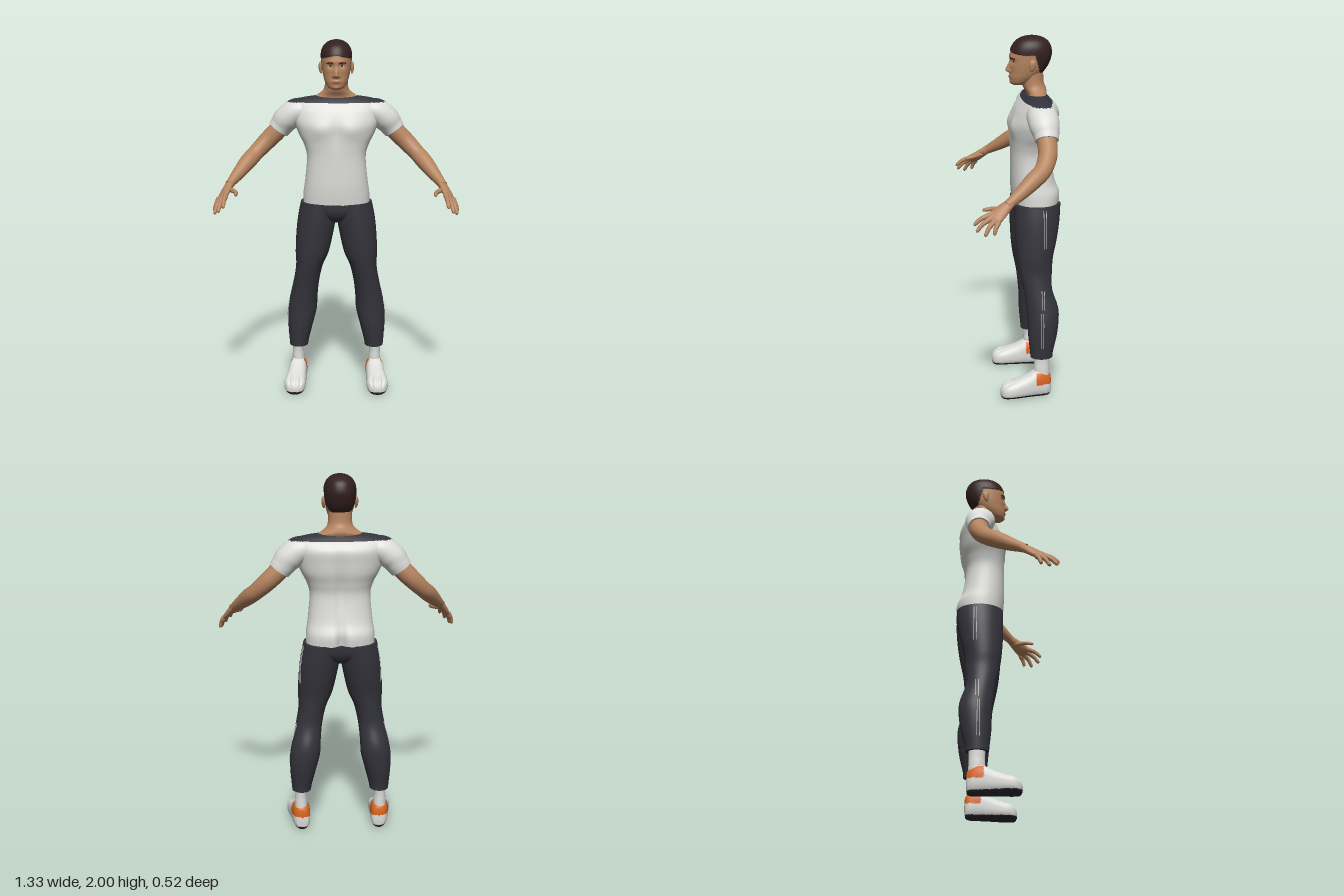
import * as THREE from 'three';

const mat = (name, color) => Object.assign(new THREE.MeshStandardMaterial({ color }), { name });
const V = (x, y, z) => new THREE.Vector3(x, y, z);
const X = V(1, 0, 0), Y = V(0, 1, 0), Z = V(0, 0, 1);
const bump = (d, w) => Math.exp(-((d / w) ** 2));

// Catmull-Rom subdivision of cross-section rows
function dense(rows, k) {
  const out = [], n = rows.length - 1;
  for (let i = 0; i < n; i++) {
    const [p, q, r, s] = [rows[Math.max(i - 1, 0)], rows[i], rows[i + 1], rows[Math.min(i + 2, n)]];
    for (let j = 0; j < k; j++) {
      const t = j / k;
      out.push(q.map((b, c) => b + 0.5 * t * (r[c] - p[c] +
        t * (2 * p[c] - 5 * b + 4 * r[c] - s[c] + t * (3 * (b - r[c]) + s[c] - p[c])))));
    }
  }
  out.push(rows[n]);
  return out;
}

// Capped loft through rows [x, y, z, radius along u, radius along v]
function loft(rows, { k = 6, seg = 32, axes, pow = 2, side = 1, deform } = {}) {
  const R = dense(rows.map(([x, ...r]) => [x * side, ...r]), k);
  const pos = [], idx = [], at = i => V(...R[i].slice(0, 3));
  const ringPoint = (i, j) => {
    const t = at(Math.min(i + 1, R.length - 1)).sub(at(Math.max(i - 1, 0))).normalize();
    const u = axes ? axes[0].clone() : V().crossVectors(t, Z).normalize();
    const v = axes ? axes[1].clone() : V().crossVectors(t, u);
    if (axes) { u.x *= side; v.x *= side; }
    if (V().crossVectors(u, v).dot(t) < 0) v.negate();
    const a = j / seg * Math.PI * 2, c = Math.cos(a), s = Math.sin(a);
    const f = q => Math.sign(q) * Math.abs(q) ** (2 / pow);
    const p = at(i).addScaledVector(u, R[i][3] * f(c)).addScaledVector(v, R[i][4] * f(s));
    if (deform) deform(p, R[i]);
    return p;
  };
  const ring = i => { for (let j = 0; j < seg; j++) pos.push(...ringPoint(i, j).toArray()); };
  R.forEach((_, i) => ring(i));
  for (let i = 0; i < R.length - 1; i++) for (let j = 0; j < seg; j++) {
    const a = i * seg + j, b = i * seg + (j + 1) % seg;
    idx.push(a, b, a + seg, b, b + seg, a + seg);
  }
  for (const i of [0, R.length - 1]) {
    const base = pos.length / 3;
    ring(i);
    pos.push(...at(i).toArray());
    for (let j = 0; j < seg; j++) {
      const a = base + j, b = base + (j + 1) % seg;
      idx.push(...(i ? [a, b, base + seg] : [b, a, base + seg]));
    }
  }
  const g = new THREE.BufferGeometry();
  g.setAttribute('position', new THREE.Float32BufferAttribute(pos, 3));
  g.setIndex(idx);
  g.computeVertexNormals();
  return g;
}

// Sort faces into material groups by a rule on their centres
function paint(g, count, rule) {
  const idx = g.index.array, p = g.attributes.position, bins = Array.from({ length: count }, () => []);
  for (let i = 0; i < idx.length; i += 3) {
    const c = V();
    for (let j = 0; j < 3; j++) c.add(V().fromBufferAttribute(p, idx[i + j]));
    c.divideScalar(3);
    bins[rule(c)].push(idx[i], idx[i + 1], idx[i + 2]);
  }
  g.setIndex(bins.flat());
  let start = 0;
  bins.forEach((b, m) => { g.addGroup(start, b.length, m); start += b.length; });
  return g;
}

export function createModel() {
  const model = new THREE.Group();
  const skin = mat('skin', 0xb5845f), hair = mat('hair', 0x33201f), white = mat('white cloth', 0xdcdcd9),
    dark = mat('dark cloth', 0x34343c), orange = mat('orange heel', 0xd9641f), sole = mat('sole', 0x2b2b30),
    lip = mat('lips', 0x9a6650), eyeWhite = mat('eye white', 0xd0c4b8);
  const add = (name, geo, material) => {
    const m = new THREE.Mesh(geo, material);
    m.name = name;
    model.add(m);
  };
  const level = [X, Z];
  const yoke = c => (c.y > 1.655 ? 1 : 0);

  // Shirt body with chest, spine groove and seat shaping
  add('shirt', paint(loft([
    [0, 1.09, -.135, .187, .128], [0, 1.15, -.133, .185, .132], [0, 1.22, -.118, .175, .12],
    [0, 1.35, -.108, .164, .11], [0, 1.42, -.112, .18, .116], [0, 1.48, -.12, .21, .124],
    [0, 1.54, -.124, .232, .127], [0, 1.6, -.137, .245, .118], [0, 1.635, -.14, .25, .098],
    [0, 1.655, -.138, .243, .08], [0, 1.675, -.138, .2, .058], [0, 1.688, -.138, .12, .04]],
  { axes: level, pow: 2.3, seg: 96, k: 6, deform(p, r) {
    const x = Math.abs(p.x);
    if (p.z < r[2] - .03) p.z += .016 * bump(x, .03) * bump(p.y - 1.4, .2) + .032 * bump(x, .022) * bump(p.y - 1.1, .08);
    else if (p.z > r[2] + .03) p.z += .012 * bump(x - .09, .06) * bump(p.y - 1.51, .05) - .008 * bump(x, .025) * bump(p.y - 1.5, .1);
  } }), 2, yoke), [white, dark]);

  // Neck spreading into the shoulders
  add('neck', loft([[0, 1.64, -.138, .17, .045], [0, 1.675, -.138, .14, .05], [0, 1.695, -.138, .105, .056],
    [0, 1.72, -.128, .074, .061], [0, 1.75, -.118, .064, .06], [0, 1.81, -.115, .062, .06]], { axes: level, seg: 48 }), skin);

  // Head: sculpted face, with hair, brows, eyes and lips as face groups
  const isHair = ({ x, y, z }) => y > 1.922 - .02 * Math.min(1, Math.abs(x) / .08) ||
    (y > 1.8 && z < -.122 - (1.9 - y) * .3);
  add('head', paint(loft([
    [0, 1.733, -.042, .02, .025], [0, 1.745, -.047, .044, .047], [0, 1.775, -.066, .062, .072],
    [0, 1.81, -.086, .073, .091], [0, 1.85, -.098, .08, .104], [0, 1.9, -.106, .083, .111],
    [0, 1.94, -.11, .079, .102], [0, 1.97, -.112, .064, .083], [0, 1.99, -.112, .039, .05], [0, 1.998, -.112, .012, .015]],
  { axes: level, pow: 2.15, seg: 160, k: 12, deform(p, r) {
    const x = Math.abs(p.x), y = p.y;
    if (isHair(p)) {
      p.x *= 1.045;
      p.z = r[2] + (p.z - r[2]) * 1.04;
    } else if (p.z > r[2]) {
      p.z += .024 * bump(x, .012) * bump(y - 1.812, y > 1.812 ? .035 : .01) + .006 * bump(x - .015, .008) * bump(y - 1.81, .009)
        - .011 * bump(x - .031, .018) * bump(y - 1.863, .013) + .004 * bump(x - .028, .025) * bump(y - 1.886, .01)
        + .006 * bump(x, .024) * bump(y - 1.778, .01) + .006 * bump(x, .022) * bump(y - 1.745, .012);
    }
  } }), 5, c => {
    if (isHair(c)) return 1;
    if (c.z < -.06) return 0;
    const x = Math.abs(c.x), y = c.y;
    if (x > .014 && x < .052 && Math.abs(y - 1.881 + (x - .035) ** 2 * 10) < .003) return 1;
    if (((x - .031) / .012) ** 2 + ((y - 1.863) / .0045) ** 2 < 1) return Math.abs(x - .031) < .005 ? 4 : 3;
    return (x / .023) ** 2 + ((y - 1.778) / .007) ** 2 < 1 ? 2 : 0;
  }), [skin, hair, lip, eyeWhite, sole]);

  // Pelvis joining the legs
  add('pelvis', loft([[0, .975, -.13, .03, .04], [0, .995, -.132, .09, .09], [0, 1.04, -.133, .175, .122],
    [0, 1.093, -.135, .195, .129]], { axes: level, seg: 48 }), dark);

  const leg = [[.2175, .235, -.147, .0525, .062], [.216, .27, -.147, .057, .065], [.208, .36, -.153, .072, .08],
    [.197, .45, -.157, .083, .087], [.189, .52, -.152, .079, .088], [.173, .62, -.13, .073, .079],
    [.154, .72, -.12, .076, .09], [.138, .8, -.118, .094, .1], [.124, .9, -.125, .104, .115],
    [.11, 1, -.131, .108, .124], [.096, 1.093, -.135, .104, .127]];

  for (const side of [1, -1]) {
    const s = side > 0 ? 'left' : 'right';
    const part = (name, rows, material, opt = {}) => add(s + name, loft(rows, { side, ...opt }), material);

    part('Ear', [[.084, 1.815, -.1, .004, .006], [.087, 1.83, -.104, .008, .013], [.088, 1.855, -.107, .01, .018],
      [.087, 1.872, -.107, .007, .014], [.085, 1.88, -.106, .002, .004]], skin, { axes: level, seg: 20 });

    // Sleeve and arm
    add(s + 'Sleeve', paint(loft([[.13, 1.59, -.14, .06, .07], [.21, 1.602, -.14, .072, .082], [.272, 1.562, -.145, .074, .08],
      [.305, 1.522, -.15, .066, .068], [.325, 1.495, -.15, .061, .062]], { side, seg: 64, k: 10 }), 2, yoke), [white, dark]);
    part('Arm', [[.27, 1.56, -.145, .05, .05], [.33, 1.49, -.15, .052, .052], [.39, 1.43, -.145, .05, .05],
      [.45, 1.37, -.112, .045, .046], [.49, 1.33, -.06, .045, .045], [.535, 1.28, .008, .036, .036],
      [.57, 1.242, .065, .026, .026], [.582, 1.228, .09, .025, .022]], skin);

    // Palm, fingers and thumb
    const across = V(.65, -.45, -.61).normalize();
    const thick = V().crossVectors(V(.04, -.07, .095).normalize(), across).normalize();
    part('Palm', [[.57, 1.243, .062, .024, .022], [.585, 1.222, .093, .031, .021], [.603, 1.192, .132, .04, .019],
      [.617, 1.168, .163, .041, .014], [.622, 1.16, .174, .032, .008]], skin, { axes: [across, thick] });
    const fingers = [[[.594, 1.187, .176], [.602, 1.138, .26]], [[.611, 1.173, .175], [.63, 1.11, .25]],
      [[.627, 1.162, .16], [.653, 1.092, .208]], [[.638, 1.156, .139], [.659, 1.1, .162]],
      [[.578, 1.21, .105], [.533, 1.195, .208]]];
    fingers.forEach(([a, b], i) => {
      const on = (t, r) => [...a.map((q, c) => q + (b[c] - q) * t), r, r];
      const mid = on(.55, .0115);
      if (i < 4) mid[1] += .008; else mid[0] -= .012;
      part(i < 4 ? 'Finger' + (i + 1) : 'Thumb', [on(-.2, .013), on(.1, .014), mid, on(.92, .009), on(1, .002)], skin, { seg: 14, k: 4 });
    });

    // Trouser leg with broken double side piping
    part('TrouserLeg', leg, dark, { axes: level, seg: 48 });
    for (const [y0, y1, mid] of [[.86, 1.08, -.163], [.52, .63, -.15], [.3, .51, -.143]]) for (const dz of [-.007, .007]) {
      const z = mid + dz;
      const line = dense(leg, 12).filter(r => r[1] > y0 && r[1] < y1)
        .map(([x, y, cz, a, b]) => [x + a * Math.sqrt(1 - ((z - cz) / b) ** 2), y, z, .002, .0018]);
      part('Piping', line, white, { axes: level, seg: 6, k: 1 });
    }

    // Sock and shoe
    part('Sock', [[.221, .11, -.147, .036, .045], [.222, .17, -.147, .034, .043], [.222, .2, -.147, .032, .042],
      [.22, .25, -.147, .034, .044]], white, { axes: level });
    add(s + 'Shoe', paint(loft([[.216, .075, -.201, .012, .025], [.216, .07, -.195, .032, .058], [.218, .073, -.175, .045, .072],
      [.221, .08, -.145, .05, .08], [.224, .078, -.11, .052, .078], [.228, .064, -.06, .055, .064], [.234, .053, 0, .06, .053],
      [.236, .048, .04, .06, .048], [.236, .041, .068, .047, .04], [.236, .036, .082, .026, .024], [.236, .036, .086, .006, .006]],
    { side, axes: [X, Y], pow: 2.5, seg: 72, k: 8, deform(p) {
      // Toe ridges on the upper
      const x = Math.abs(p.x) - .236;
      if (p.y > .04 && p.z > 0) p.y -= .009 * Math.min(1, p.z / .04) * [-.03, 0, .028].reduce((t, q) => t + bump(x - q, .007), 0);
    } }), 3, c => (c.y < .022 ? 1 : c.z < -.113 && c.y > .083 && c.y < .147 ? 2 : 0)), [white, sole, orange]);
  }
  return model;
}
